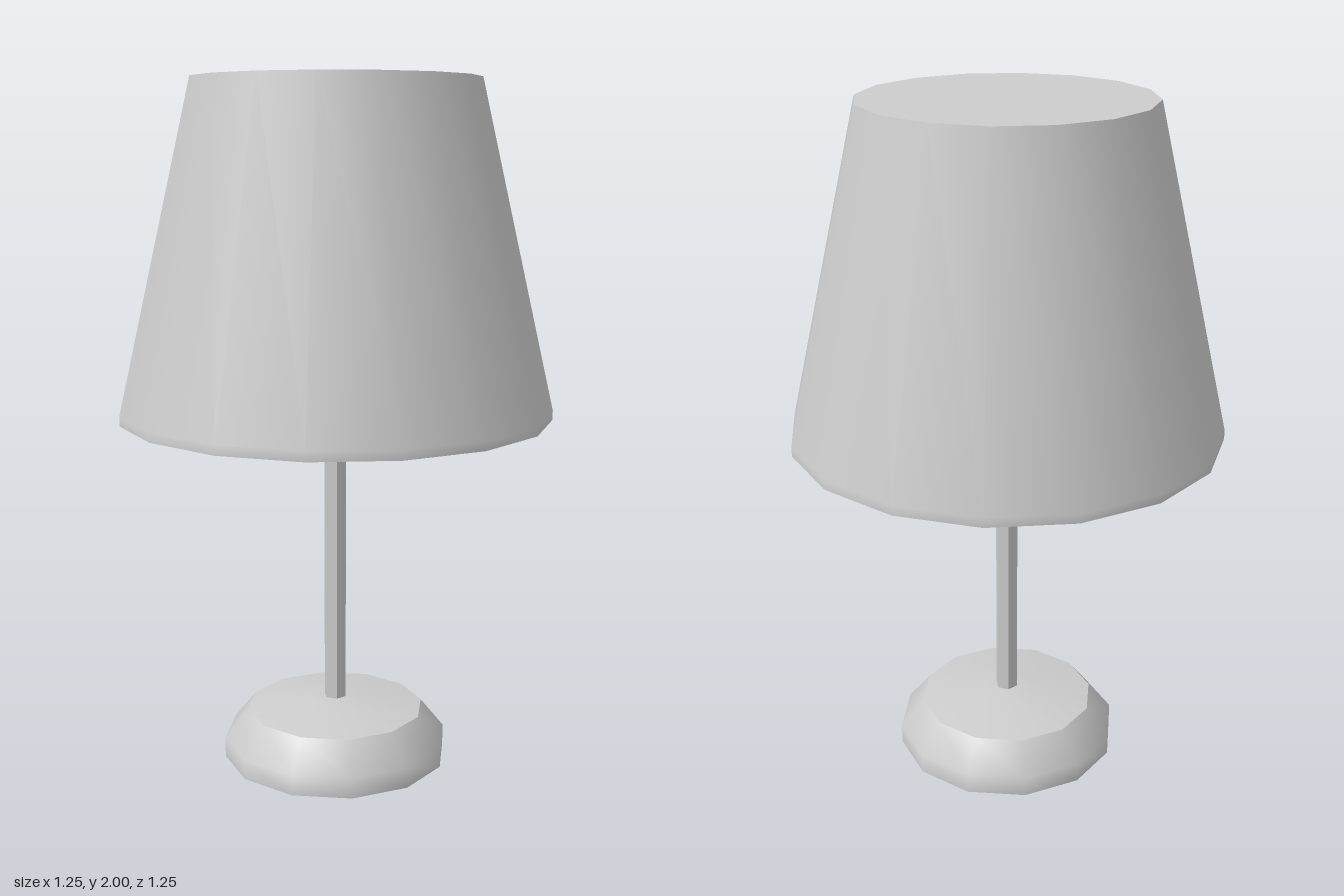
import * as THREE from 'three';

export function createModel() {
  const model = new THREE.Group();
  const gray = new THREE.MeshStandardMaterial({ color: 0xcccccc });
  gray.name = 'plainGray';
  gray.side = THREE.DoubleSide;

  const add = (name, geometry) => {
    const mesh = new THREE.Mesh(geometry, gray);
    mesh.name = name;
    model.add(mesh);
    return mesh;
  };
  // Smooth surface turned from [radius, height] pairs, listed bottom to top
  const turned = (name, sides, profile) =>
    add(name, new THREE.LatheGeometry(profile.map(([r, y]) => new THREE.Vector2(r, y)), sides));

  // Hollow foot, open underneath, with a shallow sloping lid
  turned('baseWall', 12, [[0.335, 0], [0.335, 0.06], [0.265, 0.147]]);
  turned('baseTop', 12, [[0.265, 0.147], [0.075, 0.178], [0, 0.178]]);

  // Six-sided pole with hard edges
  const poleGeometry = new THREE.CylinderGeometry(0.034, 0.034, 0.88, 6).toNonIndexed();
  poleGeometry.computeVertexNormals();
  const pole = add('pole', poleGeometry);
  pole.rotation.y = Math.PI / 2;
  pole.position.y = 0.61;

  // Tapered shade with a narrow upright rim, closed at both ends
  turned('shadeWall', 16, [[0.627, 1.043], [0.627, 1.07], [0.41, 2]]);
  turned('shadeBottom', 16, [[0, 1.043], [0.627, 1.043]]);
  turned('shadeTop', 16, [[0.41, 2], [0, 2]]);

  return model;
}
